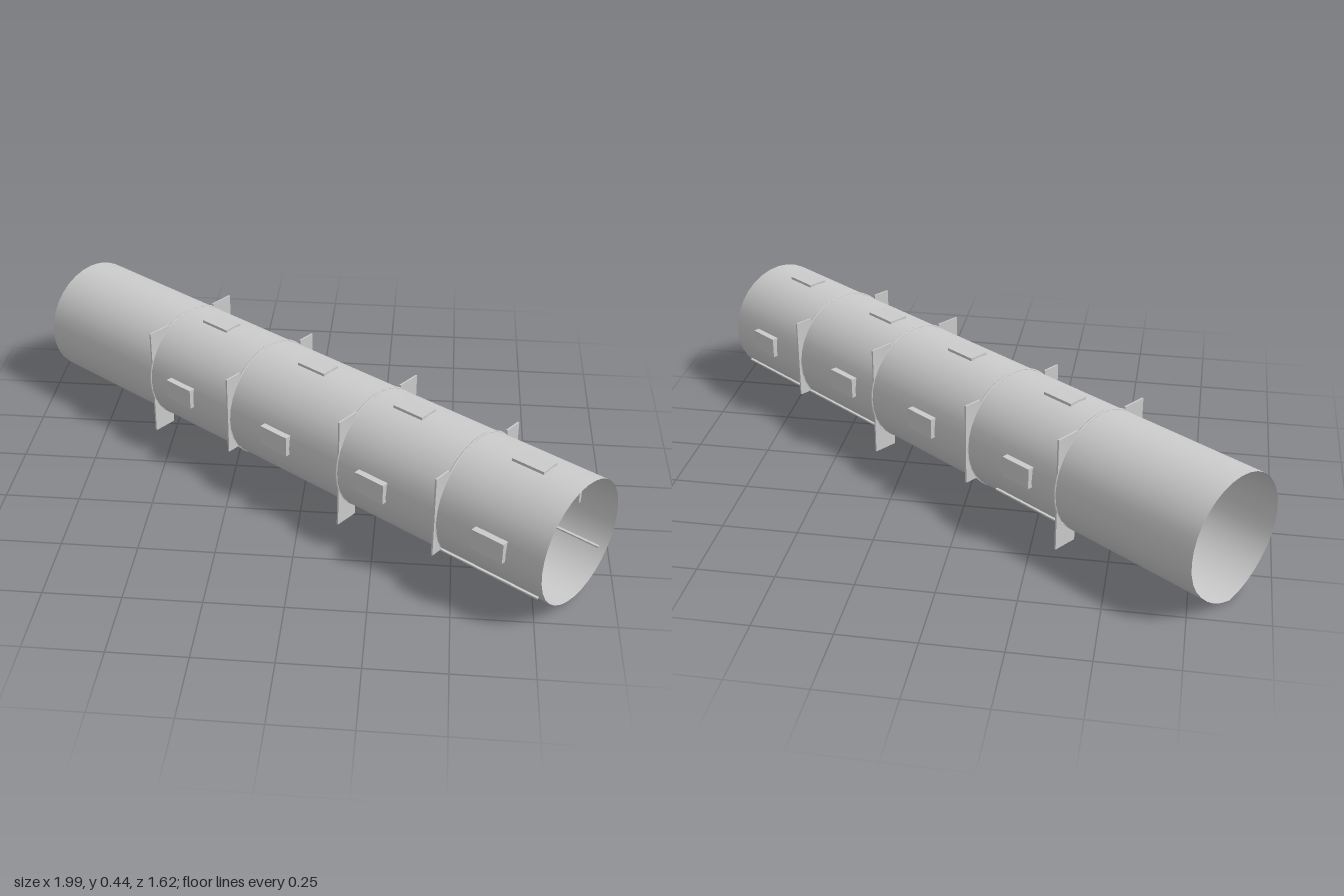
import * as THREE from 'three';

const RADIUS = 0.205, HALF = 1.085, AXIS_Y = 0.227;

export function createModel() {
  const model = new THREE.Group();
  model.name = 'tubeSection';
  // local x runs along the tube, local z points to its side
  model.rotation.y = -0.634;
  const grey = new THREE.MeshStandardMaterial({ color: 0xcccccc, side: THREE.DoubleSide });

  const add = (name, geometry, x, y, z) => {
    const mesh = new THREE.Mesh(geometry, grey);
    mesh.name = name;
    mesh.position.set(x, y, z);
    model.add(mesh);
    return mesh;
  };
  // box given by its limits along each axis
  const span = (name, x0, x1, y0, y1, z0, z1) =>
    add(name, new THREE.BoxGeometry(x1 - x0, y1 - y0, Math.abs(z1 - z0)),
      (x0 + x1) / 2, (y0 + y1) / 2, (z0 + z1) / 2);

  // open shell, with its keel drawn down to a point at the rear end
  const shell = new THREE.CylinderGeometry(RADIUS, RADIUS, HALF * 2, 32, 1, true);
  shell.rotateZ(-Math.PI / 2);
  const p = shell.attributes.position;
  for (let i = 0; i < p.count; i++) {
    if (p.getY(i) > 0 || p.getX(i) > 0) continue;
    const pull = Math.max(0, 1 - Math.abs(p.getZ(i)) / 0.14);
    p.setY(i, p.getY(i) - 0.022 * pull);
  }
  add('shell', shell, 0, AXIS_Y, 0);

  // hoops with a pair of upright fins; tall and wide-set fins alternate
  [-0.555, -0.17, 0.305, 0.7].forEach((s, i) => {
    const hoop = add('hoop', new THREE.TorusGeometry(RADIUS, 0.004, 6, 48), s, AXIS_Y, 0);
    hoop.rotation.y = Math.PI / 2;
    for (const side of [-1, 1]) {
      if (i % 2 === 0) span('tallFin', s - 0.003, s + 0.003, 0.02, 0.412, side * 0.11, side * 0.196);
      else span('wideFin', s - 0.003, s + 0.003, 0.105, 0.387, side * 0.15, side * 0.214);
    }
  });

  // blocks set through the wall on both sides and along the top
  for (const s of [-0.4, 0.045, 0.45, 0.9]) {
    for (const side of [-1, 1]) {
      span('sideBlock', s - 0.057, s + 0.057, 0.207, 0.277, side * 0.192, side * 0.22);
    }
    span('topBlock', s - 0.057, s + 0.057, 0.41, 0.438, -0.035, 0.035);
  }

  // thin ledges running low along the walls
  for (const [s0, s1, side] of [[0.3, 1.06, -1], [-0.56, -0.27, -1], [0.7, 1.06, 1]]) {
    span('ledge', s0, s1, 0.104, 0.109, side * 0.158, side * 0.176);
  }

  const root = new THREE.Group();
  root.name = 'model';
  root.add(model);
  return root;
}
